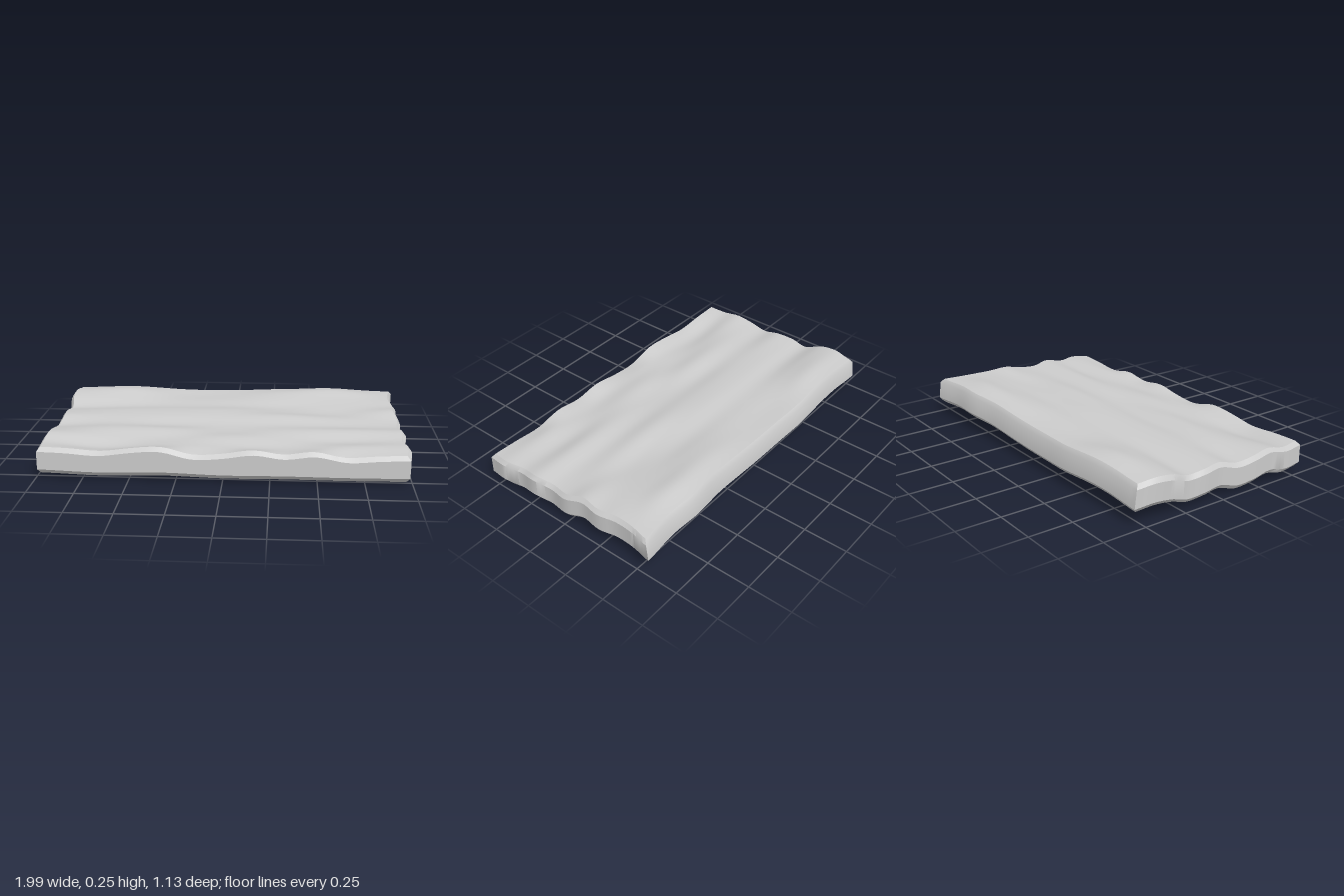
import * as THREE from 'three';
import { mergeVertices, toCreasedNormals } from 'three/addons/utils/BufferGeometryUtils.js';

// Mid-surface heights: one profile per x station (-1 to 1), each running from front to back
const profiles = [
  [0.11, 0.105, 0.125, 0.11, 0.097, 0.125, 0.12, 0.11, 0.148, 0.162, 0.15],
  [0.10, 0.076, 0.103, 0.12, 0.113, 0.127, 0.13, 0.122, 0.15, 0.174, 0.162],
  [0.107, 0.098, 0.10, 0.12, 0.108, 0.13, 0.136, 0.128, 0.135, 0.139, 0.145],
  [0.098, 0.097, 0.115, 0.108, 0.112, 0.134, 0.14, 0.131, 0.14, 0.143, 0.145],
  [0.10, 0.089, 0.105, 0.12, 0.117, 0.14, 0.13, 0.129, 0.152, 0.168, 0.158],
  [0.098, 0.108, 0.097, 0.126, 0.114, 0.127, 0.124, 0.138, 0.157, 0.181, 0.163],
  [0.10, 0.113, 0.11, 0.128, 0.115, 0.122, 0.149, 0.142, 0.149, 0.15, 0.147],
];

// Rise and dip of the upper front rim, from x = -1 to 1
const frontRim = [0, 0, -0.006, 0.01, 0.015, -0.018, -0.006, 0.015, -0.006, 0.012, -0.015, -0.006, 0];

// Wobbly outlines of the two ends and the back edge
const leftEnd = [0.98, 0.995, 0.975, 0.99, 0.97, 0.985, 0.97, 0.98, 0.965, 0.97, 0.99];
const rightEnd = [0.985, 0.995, 0.99, 0.995, 0.985, 0.975, 0.985, 0.975, 0.99, 0.99, 0.975];
const backEdge = [0.55, 0.545, 0.55, 0.555, 0.55, 0.55, 0.55, 0.55, 0.565, 0.555, 0.568];

// Smooth Catmull-Rom sample of a list, t from 0 to 1
function sample(list, t) {
  const s = THREE.MathUtils.clamp(t, 0, 1) * (list.length - 1);
  const i = Math.min(Math.floor(s), list.length - 2);
  const f = s - i;
  const at = (k) => list[THREE.MathUtils.clamp(k, 0, list.length - 1)];
  const [a, b, c, d] = [at(i - 1), at(i), at(i + 1), at(i + 2)];
  return b + 0.5 * f * (c - a + f * (2 * a - 5 * b + 4 * c - d + f * (3 * (b - c) + d - a)));
}

const midHeight = (u, v) => sample(profiles.map((p) => sample(p, v)), u);

function createSlabGeometry() {
  const half = 0.072;
  const bevelWidth = 0.018;
  const bevelDrop = 0.023;
  const geo = new THREE.BoxGeometry(2, 2, 2, 48, 3, 44);
  geo.deleteAttribute('normal');
  geo.deleteAttribute('uv');
  const pos = geo.attributes.position;

  for (let i = 0; i < pos.count; i++) {
    const x = pos.getX(i);
    const y = pos.getY(i);
    const z = pos.getZ(i);
    const u = (x + 1) / 2;
    const v = (1 - z) / 2;
    const cap = Math.abs(y) > 0.9;

    // Top and bottom caps are inset to leave a narrow bevel round the rim
    const inset = cap ? bevelWidth : 0;
    const endX = sample(x > 0 ? leftEnd : rightEnd, v) - inset;
    const depth = z > 0 ? 0.562 : sample(backEdge, u);
    const lean = z < 0 && y > 0 ? 0.012 : 0;
    // The wavy rim fades out a short way behind the front edge
    const rim = y > 0 ? sample(frontRim, u) * Math.max(0, 1 - v / 0.08) : 0;
    pos.setXYZ(
      i,
      x * endX,
      midHeight(u, v) + Math.sign(y) * (cap ? half : half - bevelDrop) + rim,
      z * (depth - inset - lean),
    );
  }
  return toCreasedNormals(mergeVertices(geo, 1e-5), 0.6);
}

export function createModel() {
  const group = new THREE.Group();
  group.name = 'wavySlab';
  const slab = new THREE.Mesh(
    createSlabGeometry(),
    new THREE.MeshStandardMaterial({ color: 0xcccccc }),
  );
  slab.name = 'slab';
  group.add(slab);
  return group;
}
